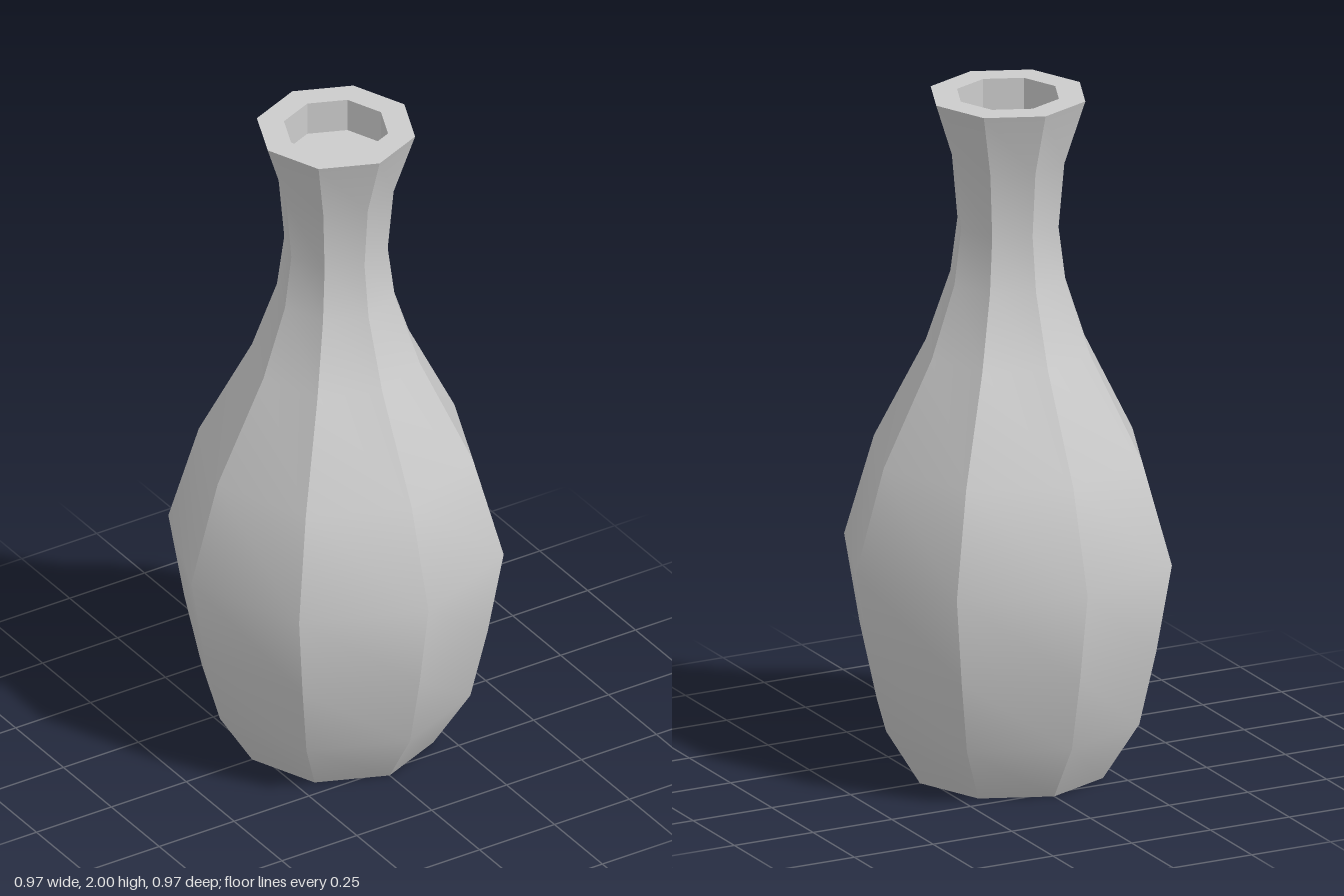
import * as THREE from 'three';
import { mergeGeometries } from 'three/addons/utils/BufferGeometryUtils.js';

const SIDES = 8;
const MOUTH = 0.15;   // radius of the opening
const WELL_Y = 1.9;   // height of the floor inside the opening

// Octagonal turning: smooth along the profile, sharp edges between the sides
function facetedLathe(profile) {
  const points = profile.map(([r, y]) => new THREE.Vector2(r, y));
  const step = (Math.PI * 2) / SIDES;
  const facets = [];
  for (let i = 0; i < SIDES; i++) {
    const facet = new THREE.LatheGeometry(points, 1, i * step, step);
    facet.computeVertexNormals();
    facets.push(facet);
  }
  return mergeGeometries(facets);
}

export function createModel() {
  const vase = new THREE.Group();
  vase.name = 'vase';
  const material = new THREE.MeshStandardMaterial({ color: 0xcccccc });

  const add = (name, profile) => {
    const mesh = new THREE.Mesh(facetedLathe(profile), material);
    mesh.name = name;
    vase.add(mesh);
  };

  // Outer wall, from foot to lip
  add('body', [
    [0.28, 0], [0.387, 0.17], [0.437, 0.39], [0.483, 0.65], [0.395, 0.95],
    [0.242, 1.25], [0.17, 1.46], [0.149, 1.62], [0.166, 1.81], [0.228, 2],
  ]);
  // Flat underside
  add('base', [[0, 0], [0.28, 0]]);
  // Flat ring around the opening
  add('rim', [[0.228, 2], [MOUTH, 2]]);
  // Shallow opening: upright inner wall and its floor
  add('mouthWall', [[MOUTH, 2], [MOUTH, WELL_Y]]);
  add('mouthFloor', [[MOUTH, WELL_Y], [0, WELL_Y]]);

  return vase;
}
